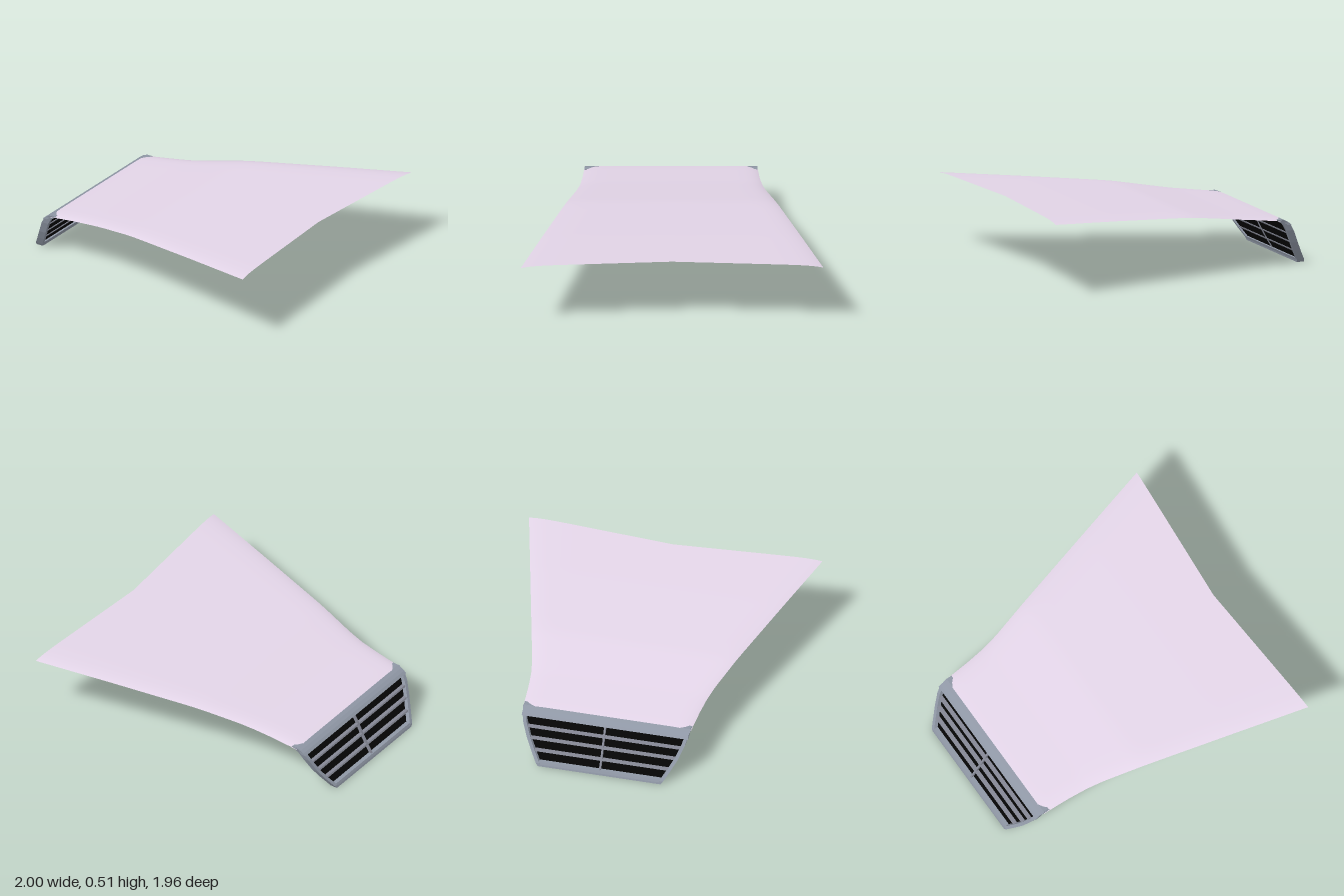
import * as THREE from 'three';

const paint = new THREE.MeshStandardMaterial({ color: 0xe3d5e8, side: THREE.DoubleSide });
const metal = new THREE.MeshStandardMaterial({ color: 0x8f97a5 });
const slatMetal = new THREE.MeshStandardMaterial({ color: 0x858895 });
const black = new THREE.MeshStandardMaterial({ color: 0x050505 });

// Linear interpolation in a table of [key, value] pairs
function lookup(table, k) {
  let i = 1;
  while (i < table.length - 1 && k > table[i][0]) i++;
  const [a, b] = [table[i - 1], table[i]];
  return THREE.MathUtils.lerp(a[1], b[1], (k - a[0]) / (b[0] - a[0]));
}

// Grille nose: front surface x and half width, both by height
const noseX = [[0, -0.995], [0.02, -0.99], [0.08, -0.952], [0.15, -0.912], [0.24, -0.867], [0.285, -0.838], [0.315, -0.79]];
const noseZ = [[0, 0.41], [0.02, 0.425], [0.08, 0.463], [0.15, 0.503], [0.24, 0.54], [0.285, 0.552], [0.315, 0.56]];
const sideYs = [0, 0.02, 0.08, 0.15, 0.2, 0.24, 0.285, 0.315];

// Solid strip following the nose profile between two z limits and two depths
function noseBar(ys, zMin, zMax, front, back) {
  const pos = [];
  const rings = ys.map((y) => {
    const x = lookup(noseX, y), w = lookup(noseZ, y);
    return [[x + front, y, zMin(w)], [x + front, y, zMax(w)], [x + back, y, zMax(w)], [x + back, y, zMin(w)]];
  });
  const quad = (a, b, c, d) => pos.push(...a, ...b, ...c, ...a, ...c, ...d);
  for (let i = 0; i < rings.length - 1; i++) {
    for (let j = 0; j < 4; j++) {
      const k = (j + 1) % 4;
      quad(rings[i][j], rings[i][k], rings[i + 1][k], rings[i + 1][j]);
    }
  }
  const top = rings[rings.length - 1];
  quad(top[0], top[1], top[2], top[3]);
  quad(rings[0][3], rings[0][2], rings[0][1], rings[0][0]);
  const g = new THREE.BufferGeometry();
  g.setAttribute('position', new THREE.Float32BufferAttribute(pos, 3));
  g.computeVertexNormals();
  return g;
}

// Hood sheet: flares towards the rear, edges roll down slightly
function hoodGeometry() {
  const width = [[-0.785, 0.56], [-0.6, 0.573], [-0.47, 0.588], [-0.36, 0.61], [-0.25, 0.64], [1, 0.98]];
  const height = [[-0.8, 0.317], [-0.75, 0.326], [-0.47, 0.362], [-0.1, 0.42], [0, 0.43], [0.5, 0.472], [1, 0.51]];
  const g = new THREE.PlaneGeometry(1, 2, 40, 48);
  const p = g.attributes.position;
  for (let i = 0; i < p.count; i++) {
    const u = p.getX(i) + 0.5;
    const s = p.getY(i);
    const v = Math.sign(s) * (1 - (1 - Math.abs(s)) ** 1.6); // denser near the edges
    const x = -0.785 + u * (1.715 + 0.07 * Math.abs(v));
    const w = lookup(width, -0.785 + u * 1.785);
    const drop = 0.015 * Math.abs(v) ** 14;
    p.setXYZ(i, x, lookup(height, x) - drop, -v * w);
  }
  g.computeVertexNormals();
  return g;
}

export function createModel() {
  const model = new THREE.Group();
  const add = (name, geometry, material, parent = model) => {
    const mesh = new THREE.Mesh(geometry, material);
    mesh.name = name;
    parent.add(mesh);
    return mesh;
  };

  add('hood', hoodGeometry(), paint);

  const grille = new THREE.Group();
  grille.name = 'grille';
  model.add(grille);

  // Surround: two side rails, lower rail and curved upper rail
  add('leftRail', noseBar(sideYs, (w) => w - 0.024, (w) => w, 0, 0.05), metal, grille);
  add('rightRail', noseBar(sideYs, (w) => -w, (w) => -w + 0.024, 0, 0.05), metal, grille);
  add('lowerRail', noseBar([0, 0.012, 0.028], (w) => -w + 0.005, (w) => w - 0.005, 0, 0.05), metal, grille);

  const lip = new THREE.Shape([
    [-0.848, 0.278], [-0.832, 0.293], [-0.81, 0.307], [-0.782, 0.318],
    [-0.745, 0.318], [-0.75, 0.31], [-0.79, 0.3], [-0.815, 0.28],
  ].map(([x, y]) => new THREE.Vector2(x, y)));
  const lipGeometry = new THREE.ExtrudeGeometry(lip, { depth: 1.11, bevelEnabled: false });
  add('upperRail', lipGeometry.translate(0, 0, -0.555), metal, grille);

  // Dark backing with slats and a centre divider set into it
  add('backing', noseBar(sideYs.slice(1, -1), (w) => -w + 0.015, (w) => w - 0.015, 0.028, 0.036), black, grille);
  [0.085, 0.15, 0.215].forEach((y, i) => {
    add(`slat${i + 1}`, noseBar([y - 0.005, y + 0.005], (w) => -w + 0.015, (w) => w - 0.015, 0.006, 0.042), slatMetal, grille);
  });
  add('centreDivider', noseBar(sideYs.slice(1, -1), () => -0.006, () => 0.006, 0.006, 0.042), slatMetal, grille);

  return model;
}
